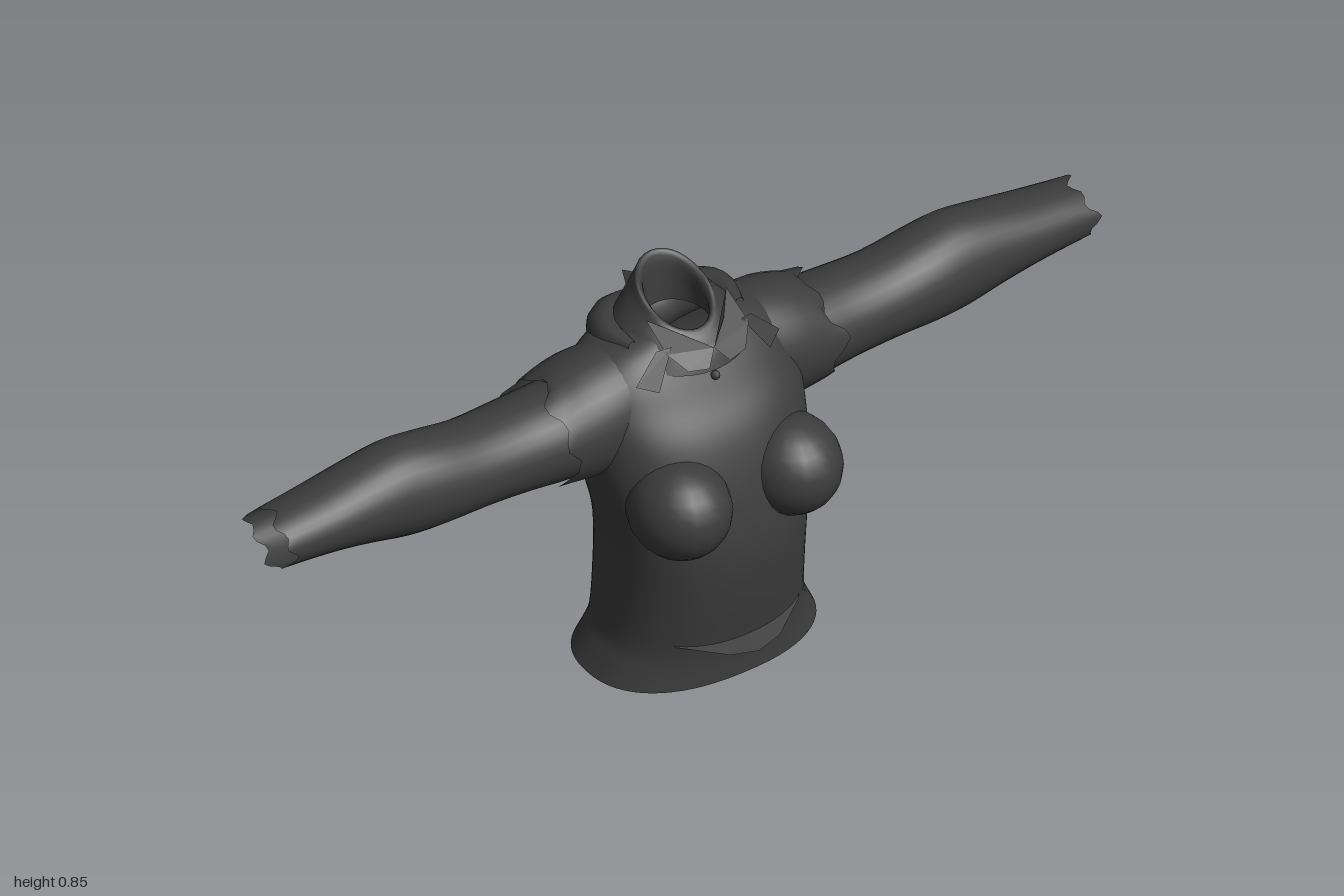
import * as THREE from 'three';

const cloth = new THREE.MeshStandardMaterial({ color: 0x3c3c3c, side: THREE.DoubleSide });
cloth.name = 'charcoal cloth';

// Smooth interpolation of table rows
function sample(rows, steps) {
  const out = [], n = rows.length - 1;
  for (let i = 0; i <= n * steps; i++) {
    const k = Math.min(Math.floor(i / steps), n - 1), t = i / steps - k;
    const p0 = rows[Math.max(k - 1, 0)], p1 = rows[k], p2 = rows[k + 1], p3 = rows[Math.min(k + 2, n)];
    out.push(p1.map((b, j) => {
      const a = p0[j], c = p2[j], d = p3[j];
      return b + 0.5 * t * (c - a + t * (2 * a - 5 * b + 4 * c - d + t * (3 * (b - c) + d - a)));
    }));
  }
  return out;
}

// Skin over closed rings; point(row, angle, ringFraction) gives [x, y, z]
function loft(name, rows, steps, sides, point, skip) {
  const rings = sample(rows, steps), pos = [], idx = [];
  rings.forEach((r, i) => {
    for (let j = 0; j < sides; j++) pos.push(...point(r, (j / sides) * Math.PI * 2, i / (rings.length - 1)));
  });
  for (let i = 0; i < rings.length - 1; i++) {
    for (let j = 0; j < sides; j++) {
      const a = i * sides + j, b = i * sides + (j + 1) % sides, c = a + sides, d = b + sides;
      const mid = [0, 1, 2].map(k => (pos[a * 3 + k] + pos[b * 3 + k] + pos[c * 3 + k] + pos[d * 3 + k]) / 4);
      if (skip && skip(...mid)) continue;
      idx.push(a, c, b, b, c, d);
    }
  }
  const g = new THREE.BufferGeometry();
  g.setAttribute('position', new THREE.Float32BufferAttribute(pos, 3));
  g.setIndex(idx);
  g.computeVertexNormals();
  const m = new THREE.Mesh(g, cloth);
  m.name = name;
  return m;
}

const pw = (v, e) => Math.sign(v) * Math.abs(v) ** e;

// Upright ring, row = [yFront, yBack, halfWidth, zFront, zBack]
const upright = e => (r, a) => {
  const c = pw(Math.cos(a), e), s = pw(Math.sin(a), e);
  return [r[2] * c, (r[0] + r[1]) / 2 + (r[0] - r[1]) / 2 * s, (r[3] + r[4]) / 2 + (r[3] - r[4]) / 2 * s];
};

// Sideways ring, row = [x, yTop, yBottom, zFront, zBack], with a ragged outer edge
const sideways = (side, rag) => (r, a, t) => {
  const edge = t > 0.99 ? rag * (Math.sin(a * 3 + side) + Math.sin(a * 7)) / 2 : 0;
  return [side * (r[0] + edge),
    (r[1] + r[2]) / 2 + (r[1] - r[2]) / 2 * Math.sin(a),
    (r[3] + r[4]) / 2 + (r[3] - r[4]) / 2 * Math.cos(a)];
};

// Flat cloth piece from a fan of corners
function panel(name, side, pts) {
  const g = new THREE.BufferGeometry(), idx = [];
  g.setAttribute('position', new THREE.Float32BufferAttribute(pts.flatMap(p => [p[0] * side, p[1], p[2]]), 3));
  for (let i = 1; i < pts.length - 1; i++) idx.push(...(side > 0 ? [0, i, i + 1] : [0, i + 1, i]));
  g.setIndex(idx);
  const flat = g.toNonIndexed();
  flat.computeVertexNormals();
  const m = new THREE.Mesh(flat, cloth);
  m.name = name;
  return m;
}

export function createModel() {
  const model = new THREE.Group();
  model.name = 'knittedTop';

  // Body with open armholes and flared hem
  const body = [
    [0.005, 0.02, 0.262, 0.162, -0.19], [0.05, 0.06, 0.24, 0.162, -0.178], [0.1, 0.1, 0.222, 0.168, -0.175],
    [0.2, 0.2, 0.214, 0.185, -0.178], [0.3, 0.3, 0.214, 0.195, -0.178], [0.38, 0.38, 0.222, 0.188, -0.18],
    [0.48, 0.48, 0.24, 0.165, -0.205], [0.57, 0.57, 0.25, 0.13, -0.226], [0.64, 0.64, 0.25, 0.082, -0.216],
    [0.69, 0.69, 0.235, 0.048, -0.205], [0.73, 0.73, 0.185, 0.02, -0.19], [0.757, 0.757, 0.11, 0, -0.175],
  ];
  model.add(loft('body', body, 4, 64, upright(0.86),
    (x, y, z) => Math.abs(x) > 0.13 && Math.hypot(y - 0.59, z + 0.085) < 0.092));

  // Collar funnel, high at the back, folded down inside
  const collar = [
    [0.695, 0.745, 0.15, 0.065, -0.2], [0.73, 0.79, 0.112, 0.048, -0.188], [0.745, 0.83, 0.086, 0.028, -0.176],
    [0.762, 0.856, 0.074, 0.005, -0.162], [0.745, 0.83, 0.062, -0.002, -0.148], [0.7, 0.74, 0.075, 0.01, -0.14],
  ];
  model.add(loft('collar', collar, 3, 32, upright(1)));

  // Rolled hood lying on the upper back
  const hoodPath = new THREE.CatmullRomCurve3([[0.13, 0.74, -0.04], [0.135, 0.73, -0.13], [0.075, 0.7, -0.188],
    [0, 0.68, -0.2], [-0.075, 0.7, -0.188], [-0.135, 0.73, -0.13], [-0.13, 0.74, -0.04]]
    .map(p => new THREE.Vector3(...p)));
  const hoodGeo = new THREE.TubeGeometry(hoodPath, 32, 1, 12);
  const hp = hoodGeo.attributes.position, v = new THREE.Vector3();
  for (let i = 0; i < hp.count; i++) {
    const t = Math.floor(i / 13) / 32, c = hoodPath.getPointAt(t);
    v.fromBufferAttribute(hp, i).sub(c).multiplyScalar(0.012 + 0.038 * Math.sin(Math.PI * t));
    v.y *= 1.15;
    v.add(c);
    hp.setXYZ(i, v.x, v.y, v.z);
  }
  hoodGeo.computeVertexNormals();
  const hood = new THREE.Mesh(hoodGeo, cloth);
  hood.name = 'hood';
  model.add(hood);

  const sleeve = [
    [0.2, 0.685, 0.48, 0.022, -0.19], [0.3, 0.682, 0.478, 0.022, -0.192], [0.4, 0.675, 0.486, 0.014, -0.19],
    [0.5, 0.677, 0.492, 0.012, -0.182], [0.6, 0.693, 0.49, 0.012, -0.182], [0.68, 0.7, 0.492, 0.006, -0.182],
    [0.77, 0.688, 0.512, 0, -0.176], [0.87, 0.67, 0.53, -0.006, -0.17], [0.98, 0.655, 0.538, -0.016, -0.162],
  ];
  const cap = [[0.17, 0.735, 0.47, 0.045, -0.2], [0.23, 0.728, 0.465, 0.045, -0.208],
    [0.285, 0.712, 0.468, 0.038, -0.206], [0.325, 0.696, 0.474, 0.032, -0.2]];

  for (const side of [1, -1]) {
    const label = side > 0 ? 'left' : 'right';
    model.add(loft(label + 'Sleeve', sleeve, 3, 32, sideways(side, 0.02)));
    model.add(loft(label + 'ShoulderRuffle', cap, 2, 32, sideways(side, 0.03), (x, y) => y < 0.5));

    // Bust
    const bust = new THREE.Mesh(new THREE.SphereGeometry(1, 20, 14), cloth);
    bust.name = label + 'Bust';
    bust.scale.set(0.105, 0.105, 0.115);
    bust.position.set(side * 0.135, 0.448, 0.128);
    model.add(bust);

    // Collar flap and loose strap
    model.add(panel(label + 'CollarFlap', side, [[0, 0.745, 0.058], [0.025, 0.715, 0.078], [0.07, 0.72, 0.068],
      [0.1, 0.755, 0.035], [0.098, 0.795, -0.04], [0.05, 0.775, 0.02]]));
    model.add(panel(label + 'Strap', side, [[0.085, 0.765, 0.03], [0.115, 0.76, 0.02], [0.175, 0.705, 0.035],
      [0.135, 0.69, 0.06]]));
    // Small pointed folds at the nape, waist and back
    model.add(panel(label + 'NapeFold', side, [[0, 0.79, -0.17], [0.05, 0.765, -0.17], [0.02, 0.772, -0.235]]));
    model.add(panel(label + 'WaistFold', side, [[0, 0.105, 0.16], [0, 0.09, 0.215], [0.06, 0.095, 0.2],
      [0.15, 0.115, 0.14], [0.17, 0.125, 0.1]]));
    model.add(panel(label + 'BackFold', side, [[0.03, 0.155, -0.165], [0.1, 0.15, -0.165], [0.06, 0.148, -0.2]]));
  }

  // Small toggle under the collar
  const toggle = new THREE.Mesh(new THREE.SphereGeometry(0.01, 8, 6), cloth);
  toggle.name = 'toggle';
  toggle.position.set(0, 0.68, 0.062);
  model.add(toggle);

  return model;
}
